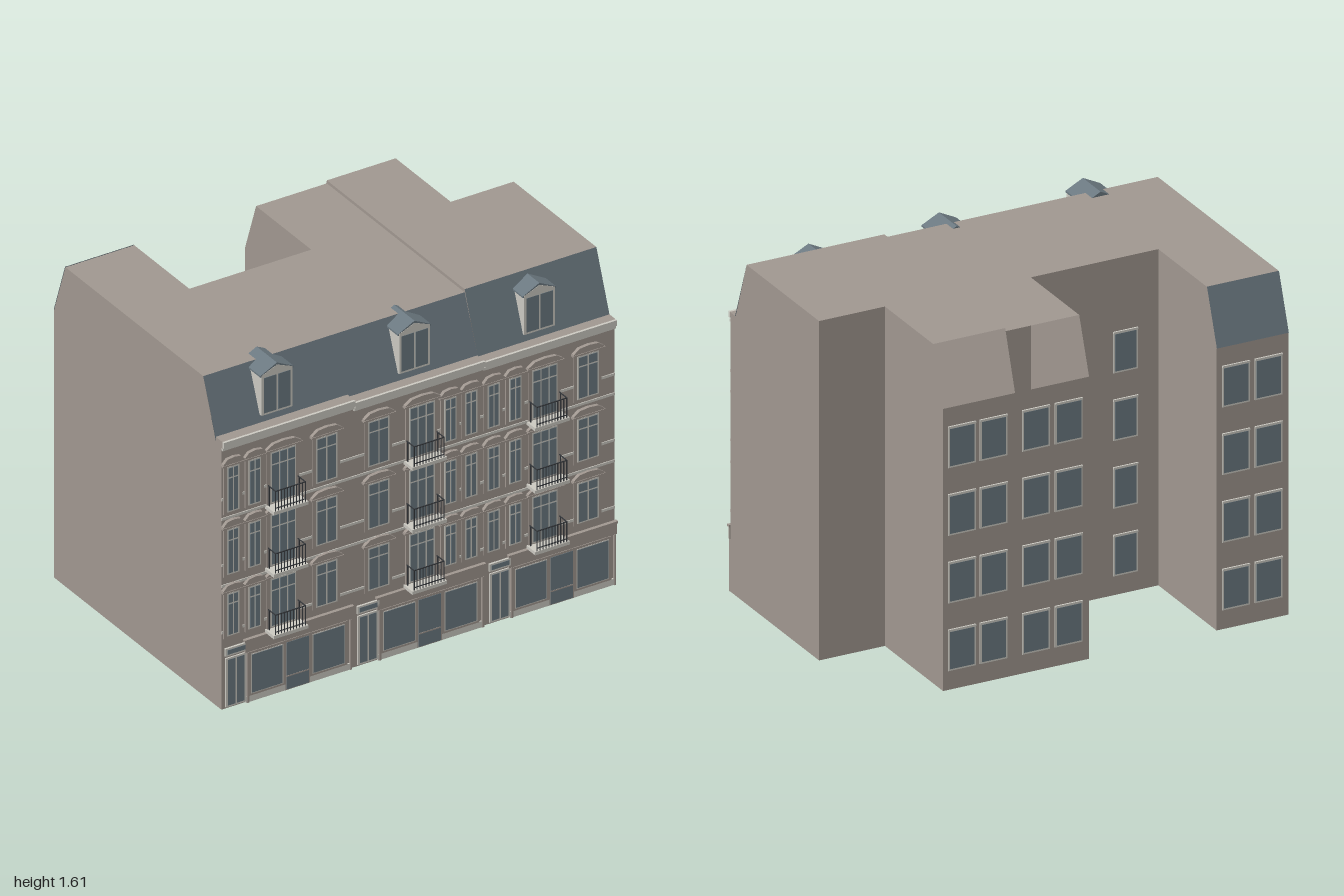
import * as THREE from 'three';

const mat = (name, color, double) => {
  const m = new THREE.MeshStandardMaterial({ color });
  m.name = name;
  if (double) m.side = THREE.DoubleSide;
  return m;
};

export function createModel() {
  const root = new THREE.Group();
  root.name = 'terraceBuilding';
  const masonry = mat('masonry', 0x9f968f, true);
  const slate = mat('slate', 0x6b7880, true);
  const trim = mat('paleTrim', 0xcac8c0);
  const glass = mat('glass', 0x6a7880);
  const iron = mat('iron', 0x33363a);

  let target = root;
  const group = (name, build) => {
    const g = new THREE.Group();
    g.name = name;
    const parent = target;
    parent.add(g);
    target = g;
    build();
    target = parent;
  };
  const add = (name, geo, m) => {
    const mesh = new THREE.Mesh(geo, m);
    mesh.name = name;
    target.add(mesh);
    return mesh;
  };
  const box = (name, m, x0, x1, y0, y1, z0, z1) =>
    add(name, new THREE.BoxGeometry(x1 - x0, y1 - y0, z1 - z0), m)
      .position.set((x0 + x1) / 2, (y0 + y1) / 2, (z0 + z1) / 2);
  const shape = pts => new THREE.Shape(pts.map(p => new THREE.Vector2(p[0], p[1])));
  // Wall across x, outlined in z and y
  const sideWall = (x, pts) =>
    add('sideWall', new THREE.ShapeGeometry(shape(pts)).rotateY(-Math.PI / 2), masonry).position.x = x;
  // Flat slab outlined in x and z
  const level = (name, y, pts) =>
    add(name, new THREE.ShapeGeometry(shape(pts)).rotateX(Math.PI / 2), masonry).position.y = y;
  // Four-cornered sheet between two horizontal edges
  const sheet = (name, m, x0, x1, y0, z0, y1, z1) => {
    const g = new THREE.BufferGeometry();
    g.setAttribute('position', new THREE.Float32BufferAttribute(
      [x0, y0, z0, x1, y0, z0, x1, y1, z1, x0, y1, z1], 3));
    g.setIndex(z0 > 0 ? [0, 1, 2, 0, 2, 3] : [0, 2, 1, 0, 3, 2]);
    g.computeVertexNormals();
    add(name, g, m);
  };

  const F = 0.635, B = -0.70, R = -0.17, RB = -0.61, E = 1.33;
  const houses = [
    { x0: -1, x1: -0.33, top: 1.585, cornice: 1.333, dx: 0, w0: -1, w1: -0.65 },
    { x0: -0.33, x1: 0.33, top: 1.585, cornice: 1.322, dx: 0.672, w0: -0.03, w1: 0.33 },
    { x0: 0.33, x1: 1, top: 1.6, cornice: 1.317, dx: 1.343, w0: 0.33, w1: 0.68 },
  ];

  // Hollow shell
  group('shell', () => {
    box('frontWall', masonry, -0.999, 0.999, 0, 1.315, 0.595, F);
    const back = t => [[RB, t], [B, E], [B, 0]];
    const front = t => [[F, 0], [F, 1.315], [0.59, 1.315], [0.49, t]];
    sideWall(-1, [...front(1.585), ...back(1.585)]);
    sideWall(1, [...front(1.6), [R, 1.6], [R, 0]]);
    sideWall(0.33, [[0.6, 0], [0.59, 1.315], [0.49, 1.6], ...back(1.6)]);
    for (const [x, t] of [[-0.65, 1.585], [-0.03, 1.585], [0.68, 1.6]])
      sideWall(x, [[R, 0], [R, t], ...back(t)]);
    sheet('courtWall', masonry, -0.65, -0.03, 0, R, 1.585, R);
    sheet('courtWall', masonry, 0.68, 1, 0, R, 1.6, R);
    sheet('wingBackWall', masonry, -1, -0.65, 0, B, E, B);
    sheet('wingBackWall', masonry, -0.03, 0.68, 0, B, E, B);
    sheet('backMansard', slate, -1, -0.65, E, B - 0.003, 1.586, RB - 0.003);
    for (const h of houses) {
      const plan = (f, b) => {
        const pts = [[h.x0, f], [h.x0, h.w0 === h.x0 ? b : R]];
        if (h.w0 !== h.x0) pts.push([h.w0, R], [h.w0, b]);
        pts.push([h.w1, b]);
        if (h.w1 !== h.x1) pts.push([h.w1, R]);
        pts.push([h.x1, h.w1 === h.x1 ? b : R], [h.x1, f]);
        return pts;
      };
      level('roof', h.top, plan(0.49, RB));
      level('floor', 0.001, plan(F, B));
      sheet('frontMansard', slate, h.x0, h.x1, 1.31, 0.597, h.top, 0.49);
      // Cornice with a stepped moulding below
      box('gutterWall', masonry, h.x0, h.x1, 1.3, h.cornice, 0.59, 0.643);
      box('cornice', trim, h.x0, h.x1, h.cornice - 0.028, h.cornice, 0.643, 0.655);
      box('corniceMoulding', trim, h.x0, h.x1, h.cornice - 0.045, h.cornice - 0.032, F, 0.646);
    }
  });

  // String courses
  for (const y of [0.382, 0.612, 0.715, 0.945, 1.042])
    box('stringCourse', trim, -1, 1, y - 0.006, y + 0.006, F, 0.639);

  // Front windows with curved hoods
  const frontWindow = (x, w, y0, y1, cols) => group('frontWindow', () => {
    const h = w / 2;
    box('surround', masonry, x - h - 0.016, x + h + 0.016, y0 - 0.01, y1 + 0.014, F, 0.6415);
    box('frame', trim, x - h, x + h, y0, y1, F, 0.644);
    const bar = 0.007, pw = (w - bar * (cols + 1)) / cols, split = y0 + (y1 - y0) * 0.74;
    for (let i = 0; i < cols; i++) {
      const a = x - h + bar + i * (pw + bar);
      box('pane', glass, a, a + pw, y0 + bar, split, 0.64, 0.6455);
      box('pane', glass, a, a + pw, split + bar, y1 - bar, 0.64, 0.6455);
    }
    const s = h + 0.024, b = y1 + 0.012;
    const hood = shape([[-s, b], [s, b], [s, b + 0.008], [s * 0.62, b + 0.03],
      [0, b + 0.035], [-s * 0.62, b + 0.03], [-s, b + 0.008]]);
    add('hood', new THREE.ExtrudeGeometry(hood, { depth: 0.017, bevelEnabled: false }), masonry)
      .position.set(x, 0, F);
    box('hoodLedge', masonry, x - s - 0.004, x + s + 0.004, b - 0.004, b + 0.004, F, 0.655);
  });

  // Balcony with iron railings
  const balcony = (x, y) => group('balcony', () => {
    const w = 0.088, z = 0.702, top = y + 0.1;
    box('slab', trim, x - w, x + w, y - 0.016, y, F, 0.705);
    box('frontRail', iron, x - w + 0.01, x + w - 0.01, top - 0.004, top, z - 0.004, z);
    box('lowerRail', iron, x - w + 0.01, x + w - 0.01, y + 0.012, y + 0.015, z - 0.004, z);
    for (let i = 0; i <= 10; i++) {
      const bx = x - w + 0.012 + i * (2 * w - 0.024) / 10;
      box('bar', iron, bx - 0.002, bx + 0.002, y, top, z - 0.004, z);
    }
    for (const s of [-1, 1]) {
      const bx = x + s * (w - 0.012);
      box('sideRail', iron, bx - 0.002, bx + 0.002, top - 0.004, top, F, z);
      box('sidePost', iron, bx - 0.002, bx + 0.002, y, top, 0.648, 0.652);
    }
  });

  const narrow = [-0.945, -0.835, 0.16, 0.265, 0.38, 0.49];
  const wide = [-0.47, -0.205, 0.86];
  const tall = [-0.69, 0.015, 0.64];
  for (const y of [0.36, 0.665, 0.975]) {
    const drop = x => (x > 0.1 ? 0.01 : 0);
    const top = y === 0.36 ? 0.572 : y + 0.225;
    for (const x of narrow) frontWindow(x, 0.062, y, top - drop(x), 2);
    for (const x of wide) frontWindow(x, 0.108, y, top - drop(x), 2);
    for (const x of tall) {
      frontWindow(x, 0.13, y - 0.025, top + 0.004 - drop(x), 3);
      balcony(x, y - 0.03);
    }
  }

  // Shopfronts and street doors
  for (const h of houses) group('groundFloor', () => {
    const d = h.dx;
    const part = (name, m, x0, x1, y0, y1, z0, z1) => box(name, m, x0 + d, x1 + d, y0, y1, z0, z1);
    part('signBand', masonry, -0.885, -0.337, 0.25, 0.308, F, 0.645);
    part('signLedge', masonry, -0.89, -0.335, 0.306, 0.316, F, 0.652);
    part('plinth', trim, -0.88, -0.345, 0, 0.03, F, 0.643);
    part('doorFrame', trim, -0.982, -0.878, 0.008, 0.25, F, 0.642);
    for (const x of [-0.972, -0.926]) part('doorLeaf', glass, x, x + 0.038, 0.016, 0.242, 0.638, 0.644);
    part('transomFrame', trim, -0.985, -0.875, 0.262, 0.3, F, 0.645);
    part('transomGlass', glass, -0.975, -0.885, 0.27, 0.292, 0.64, 0.647);
    for (const [a, b] of [[-0.868, -0.68], [-0.555, -0.365]]) {
      part('shopSurround', masonry, a, b, 0.03, 0.247, F, 0.644);
      part('shopFrame', trim, a + 0.012, b - 0.012, 0.04, 0.236, F, 0.6455);
      part('shopGlass', glass, a + 0.016, b - 0.016, 0.044, 0.232, 0.64, 0.647);
    }
    part('shopDoorSurround', masonry, -0.68, -0.555, 0, 0.247, F, 0.6435);
    part('shopDoor', glass, -0.674, -0.561, 0.004, 0.236, 0.64, 0.6455);
    part('shopDoorBar', masonry, -0.674, -0.561, 0.066, 0.072, 0.64, 0.647);
    for (const x of [-0.875, -0.352]) part('pilaster', masonry, x, x + 0.01, 0, 0.25, F, 0.647);
  });

  // Dormers with gabled roofs
  for (const [x, base, apex, zBack] of [[-0.69, 1.365, 1.606, 0.43], [0.01, 1.353, 1.594, 0.43], [0.645, 1.348, 1.583, 0.49]])
    group('dormer', () => {
      const w = 0.078, e = apex - 0.042;
      const body = shape([[-w, base], [w, base], [w, e], [0, apex - 0.01], [-w, e]]);
      add('dormerBody', new THREE.ExtrudeGeometry(body, { depth: 0.1, bevelEnabled: false }), trim)
        .position.set(x, 0, 0.493);
      const roof = shape([[-w - 0.006, e - 0.008], [w + 0.006, e - 0.008], [w + 0.006, e], [0, apex], [-w - 0.006, e]]);
      add('dormerRoof', new THREE.ExtrudeGeometry(roof, { depth: 0.592 - zBack, bevelEnabled: false }), slate)
        .position.set(x, 0, zBack);
      for (const s of [-1, 1]) {
        const c = x + s * 0.036;
        box('dormerPane', glass, c - 0.031, c + 0.031, base + 0.01, e - 0.014, 0.588, 0.595);
      }
    });

  // Rear windows: four storeys on each wing and in the court
  const rear = [[-0.89, B], [-0.735, B], [0.07, B], [0.23, B], [0.435, B], [0.59, B], [-0.49, R]];
  for (const [c, z] of rear)
    for (let i = 0; i < 4; i++) group('rearWindow', () => {
      const y = 0.09 + i * 0.319, h = z === R ? 0.06 : 0.067;
      const x = c === -0.89 ? -0.902 : c === -0.735 ? -0.743 : c;
      box('rearFrame', trim, x - h, x + h, y, y + 0.195, z - 0.004, z);
      box('rearGlass', glass, x - h + 0.008, x + h - 0.008, y + 0.008, y + 0.183, z - 0.0055, z);
      box('rearLintel', trim, x - h, x + h, y + 0.187, y + 0.195, z - 0.008, z);
    });

  return root;
}
